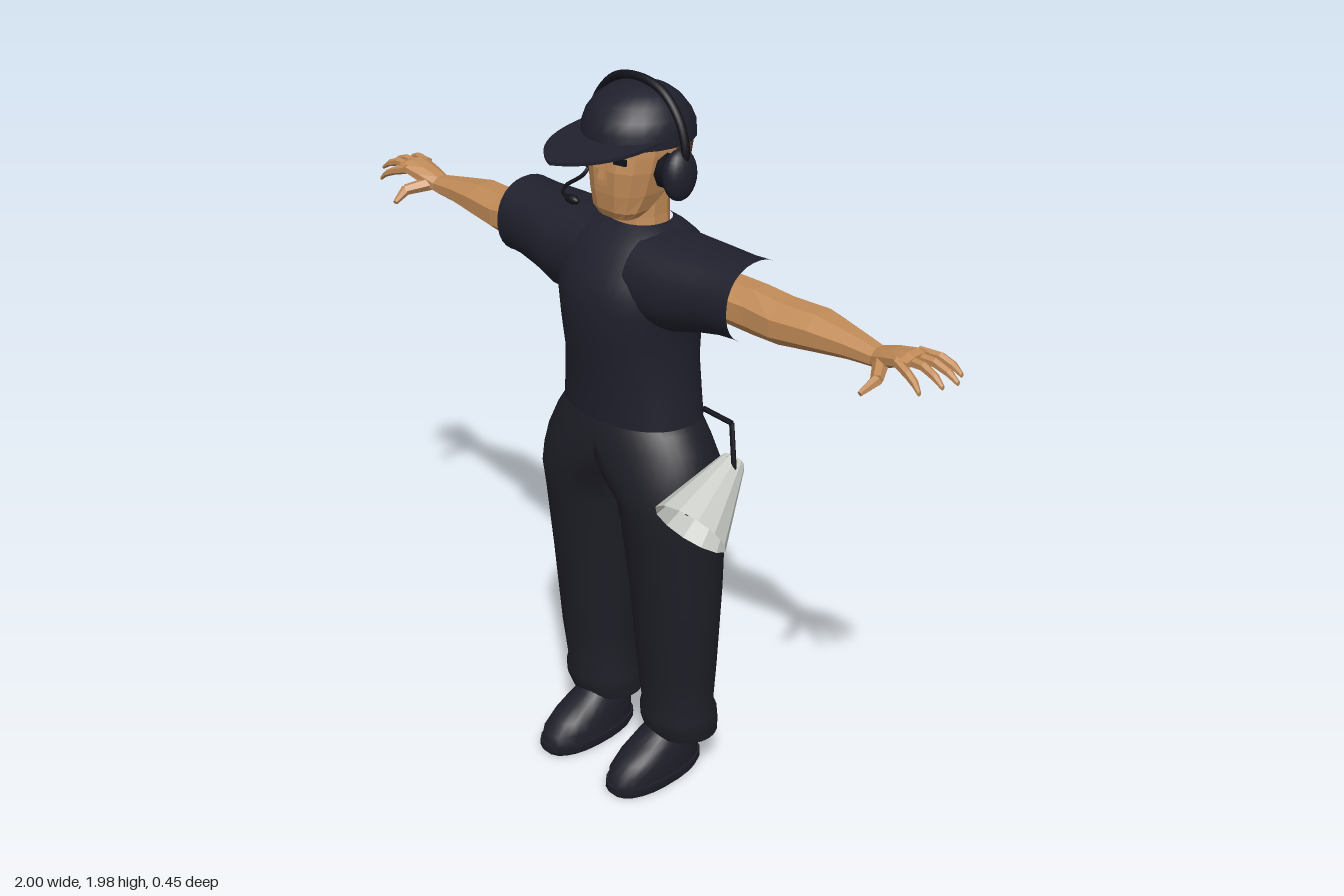
import * as THREE from 'three';
import { toCreasedNormals } from 'three/addons/utils/BufferGeometryUtils.js';

const mat = (name, color, side = THREE.FrontSide) => {
  const m = new THREE.MeshStandardMaterial({ color, side });
  m.name = name;
  return m;
};
const V = (x, y, z) => new THREE.Vector3(x, y, z);
const FLAT = 0.01, SMOOTH = 1.0;

// Loft through oval sections [position, centre1, centre2, radius1, radius2].
// axis 'y': centres are x, z; axis 'x': centres are z, y.
function loft(sections, { axis = 'y', n = 24, power = 2, crease = SMOOTH, caps = true, clamp = false, skip } = {}) {
  const pos = [], idx = [];
  const se = v => Math.sign(v) * Math.pow(Math.abs(v), 2 / power);
  const put = (p, u, v) => axis === 'y' ? pos.push(clamp ? Math.max(0, u) : u, p, v) : pos.push(p, v, u);
  for (const [p, c1, c2, r1, r2] of sections) {
    for (let j = 0; j < n; j++) {
      const t = (j + 0.5) / n * Math.PI * 2;
      put(p, c1 + r1 * se(Math.cos(t)), c2 + r2 * se(Math.sin(t)));
    }
  }
  const at = i => V(pos[i * 3], pos[i * 3 + 1], pos[i * 3 + 2]);
  const last = (sections.length - 1) * n;
  for (let i = 0; i < last; i += n) {
    for (let j = 0; j < n; j++) {
      const k = (j + 1) % n, a = i + j, b = i + k, c = a + n, d = b + n;
      if (skip && skip(at(a).add(at(d)).multiplyScalar(0.5))) continue;
      idx.push(a, c, b, b, c, d);
    }
  }
  if (caps) {
    const s = sections[0], e = sections[sections.length - 1], m = pos.length / 3;
    put(s[0], s[1], s[2]);
    put(e[0], e[1], e[2]);
    for (let j = 0; j < n; j++) {
      const k = (j + 1) % n;
      idx.push(m, j, k, m + 1, last + k, last + j);
    }
  }
  const g = new THREE.BufferGeometry();
  g.setAttribute('position', new THREE.Float32BufferAttribute(pos, 3));
  g.setIndex(idx);
  return toCreasedNormals(g, crease);
}

// Same as a section, given by its front and back z
const fb = (y, front, back, rx, cx = 0) => [y, cx, (front + back) / 2, rx, (front - back) / 2];

// Straight round bar from a to b
function rod(a, b, ra, rb = ra, n = 8, open = false) {
  const d = b.clone().sub(a);
  const g = new THREE.CylinderGeometry(rb, ra, d.length(), n, 1, open);
  g.applyQuaternion(new THREE.Quaternion().setFromUnitVectors(V(0, 1, 0), d.normalize()));
  g.translate((a.x + b.x) / 2, (a.y + b.y) / 2, (a.z + b.z) / 2);
  return toCreasedNormals(g, n > 8 ? FLAT : SMOOTH);
}

// Mirrored copy across x = 0 with its winding turned round
function mirror(src) {
  const g = src.index ? src.toNonIndexed() : src.clone();
  g.scale(-1, 1, 1);
  for (const key of ['position', 'normal']) {
    const a = g.attributes[key];
    for (let i = 0; i < a.count; i += 3) {
      const p = V().fromBufferAttribute(a, i + 1), q = V().fromBufferAttribute(a, i + 2);
      a.setXYZ(i + 1, q.x, q.y, q.z);
      a.setXYZ(i + 2, p.x, p.y, p.z);
    }
  }
  return g;
}

export function createModel() {
  const root = new THREE.Group();
  root.name = 'crewMember';
  const cloth = mat('navyCloth', 0x20202d), trouser = mat('trouserCloth', 0x1e1e27);
  const skin = mat('skin', 0xc08a57), hair = mat('brownHair', 0x54301b);
  const black = mat('blackPlastic', 0x12121a), leather = mat('shoeLeather', 0x1f1f2a);
  const horn = mat('paleGreyHorn', 0xc9ccc6, THREE.DoubleSide);
  const add = (name, g, m) => {
    const mesh = new THREE.Mesh(g, m);
    mesh.name = name;
    root.add(mesh);
    return mesh;
  };
  const pair = (name, g, m) => {
    add(name + 'Left', g, m);
    add(name + 'Right', mirror(g), m);
  };

  // Trousers: each half joins the other at the centre line
  pair('trouserLeg', loft([
    [0.13, 0.148, -0.1, 0.108, 0.097], [0.17, 0.15, -0.09, 0.112, 0.103], [0.2, 0.15, -0.087, 0.112, 0.102],
    [0.225, 0.15, -0.083, 0.104, 0.094], [0.35, 0.152, -0.077, 0.113, 0.104], [0.6, 0.15, -0.07, 0.128, 0.122],
    [0.8, 0.146, -0.06, 0.136, 0.14], [0.88, 0.142, -0.055, 0.141, 0.15], [0.93, 0.11, -0.055, 0.172, 0.153],
    [0.98, 0.07, -0.055, 0.202, 0.153], [1.04, 0.02, -0.055, 0.226, 0.149], [1.085, 0, -0.055, 0.216, 0.143],
    [1.12, 0, -0.055, 0.185, 0.132],
  ], { n: 40, clamp: true }), trouser);

  // Shoes
  pair('shoeUpper', loft([
    fb(0.028, 0.15, -0.163, 0.073, 0.135), fb(0.06, 0.145, -0.162, 0.073, 0.135), fb(0.09, 0.11, -0.158, 0.069, 0.135),
    fb(0.12, 0.055, -0.155, 0.062, 0.135), fb(0.14, 0.01, -0.15, 0.056, 0.135), fb(0.19, -0.02, -0.15, 0.05, 0.135),
  ], { power: 2.3 }), leather);
  pair('shoeSole', loft([
    fb(0, 0.148, -0.163, 0.073, 0.135), fb(0.012, 0.157, -0.17, 0.078, 0.135), fb(0.032, 0.156, -0.168, 0.078, 0.135),
  ], { power: 2.3, crease: 0.7 }), leather);

  // Shirt body, left open where the sleeves run through
  add('shirtBody', loft([
    fb(1.1, 0.09, -0.2, 0.203), fb(1.15, 0.093, -0.2, 0.196), fb(1.25, 0.1, -0.2, 0.184), fb(1.35, 0.118, -0.21, 0.184),
    fb(1.42, 0.12, -0.22, 0.196), fb(1.46, 0.115, -0.223, 0.2), fb(1.5, 0.1, -0.223, 0.2), fb(1.54, 0.075, -0.215, 0.195),
    fb(1.575, 0.05, -0.195, 0.175), fb(1.6, 0.02, -0.17, 0.14), fb(1.615, 0, -0.15, 0.085),
  ], {
    n: 40, power: 2.2, caps: false,
    skip: p => Math.abs(p.x) > 0.13 && Math.hypot((p.y - 1.49) / 0.1, (p.z + 0.06) / 0.115) < 1,
  }), cloth);
  pair('sleeve', loft([
    [0.09, -0.06, 1.485, 0.14, 0.122], [0.2, -0.06, 1.488, 0.135, 0.117], [0.28, -0.06, 1.5, 0.118, 0.107],
    [0.35, -0.06, 1.507, 0.108, 0.1], [0.395, -0.06, 1.51, 0.106, 0.1], [0.41, -0.06, 1.51, 0.104, 0.102],
  ], { axis: 'x', n: 28, power: 2.2, caps: false }), cloth);

  // Arms and hands
  pair('arm', loft([
    [0.3, -0.06, 1.495, 0.07, 0.06], [0.42, -0.065, 1.49, 0.065, 0.063], [0.5, -0.07, 1.485, 0.071, 0.058],
    [0.6, -0.08, 1.49, 0.069, 0.051], [0.7, -0.075, 1.49, 0.047, 0.036], [0.78, -0.07, 1.487, 0.033, 0.026],
    [0.83, -0.065, 1.505, 0.042, 0.025], [0.88, -0.06, 1.522, 0.05, 0.019], [0.9, -0.06, 1.522, 0.046, 0.013],
  ], { axis: 'x', n: 8, crease: FLAT }), skin);
  [[0.98, -0.115, -0.1], [1, -0.075, -0.073], [0.99, -0.033, -0.046], [0.955, 0.003, -0.02]].forEach(([tip, z, z0], i) => {
    const drop = i === 3 ? 0.015 : 0, len = tip - 0.87, mid = (z + z0) / 2;
    pair('finger' + (i + 1), loft([
      [0.87, z0, 1.52, 0.013, 0.014], [0.87 + len * 0.5, mid, 1.522 - drop, 0.012, 0.012],
      [0.87 + len * 0.8, z * 0.8 + z0 * 0.2, 1.51 - drop, 0.011, 0.01], [tip, z, 1.493 - drop, 0.006, 0.006],
    ], { axis: 'x', n: 6, crease: FLAT }), skin);
  });
  pair('thumbBase', rod(V(0.8, 1.49, -0.055), V(0.84, 1.475, 0.01), 0.02, 0.015, 6), skin);
  pair('thumbTip', rod(V(0.84, 1.475, 0.007), V(0.83, 1.452, 0.055), 0.015, 0.007, 6), skin);

  // Head, neck and hair
  add('neck', loft([fb(1.57, 0, -0.15, 0.08), fb(1.63, -0.005, -0.15, 0.075), fb(1.72, -0.01, -0.15, 0.075)],
    { n: 10, crease: FLAT }), skin);
  add('head', loft([
    fb(1.635, 0.033, -0.04, 0.055), fb(1.655, 0.044, -0.07, 0.073), fb(1.7, 0.05, -0.13, 0.088),
    fb(1.76, 0.052, -0.165, 0.1), fb(1.8, 0.044, -0.175, 0.104), fb(1.87, 0.035, -0.17, 0.1),
  ], { n: 12, power: 2.8, crease: FLAT }), skin);
  add('nose', loft([fb(1.725, 0.068, 0.03, 0.017), fb(1.74, 0.067, 0.03, 0.016), fb(1.8, 0.05, 0.02, 0.009)],
    { n: 4, crease: FLAT }), skin);
  add('hair', loft([fb(1.675, -0.1, -0.162, 0.078), fb(1.73, -0.075, -0.175, 0.1), fb(1.8, -0.065, -0.188, 0.108),
    fb(1.85, -0.06, -0.188, 0.108)], { n: 12, power: 2.8, crease: FLAT }), hair);
  const eye = new THREE.BoxGeometry(0.036, 0.016, 0.008);
  eye.rotateY(0.2);
  eye.translate(0.053, 1.793, 0.046);
  pair('eye', eye, black);

  // Cap with a thin pointed brim
  add('capCrown', loft([
    fb(1.825, 0.078, -0.218, 0.138), fb(1.86, 0.078, -0.215, 0.137), fb(1.89, 0.065, -0.2, 0.128), fb(1.92, 0.04, -0.175, 0.108),
    fb(1.942, 0.005, -0.145, 0.078), fb(1.955, -0.035, -0.105, 0.038), fb(1.958, -0.06, -0.08, 0.01),
  ]), cloth);
  const brimShape = new THREE.Shape();
  brimShape.moveTo(-0.132, -0.02);
  brimShape.bezierCurveTo(-0.14, 0.13, -0.07, 0.2, 0, 0.228);
  brimShape.bezierCurveTo(0.07, 0.2, 0.14, 0.13, 0.132, -0.02);
  const brim = new THREE.ExtrudeGeometry(brimShape, { depth: 0.008, bevelEnabled: false, curveSegments: 14 });
  brim.rotateX(Math.PI / 2 + 0.1);
  brim.translate(0, 1.847, 0);
  add('capBrim', brim, cloth);

  // Headset
  const band = new THREE.CatmullRomCurve3([[-0.155, 1.77], [-0.163, 1.82], [-0.142, 1.89], [-0.085, 1.95], [0, 1.97],
    [0.085, 1.95], [0.142, 1.89], [0.163, 1.82], [0.155, 1.77]].map(([x, y]) => V(x, y, -0.066)));
  add('headsetBand', new THREE.TubeGeometry(band, 40, 0.011, 8), black);
  const cup = new THREE.SphereGeometry(1, 20, 14);
  cup.scale(0.034, 0.066, 0.05);
  cup.translate(0.145, 1.757, -0.066);
  pair('earCup', cup, cloth);
  const pad = rod(V(0.1, 1.757, -0.066), V(0.135, 1.757, -0.066), 0.045, 0.045, 8);
  pair('earPad', pad, black);
  const boom = new THREE.CatmullRomCurve3([V(-0.155, 1.72, -0.06), V(-0.145, 1.695, -0.02), V(-0.125, 1.69, 0.06),
    V(-0.09, 1.688, 0.1), V(-0.05, 1.689, 0.112)]);
  add('microphoneBoom', new THREE.TubeGeometry(boom, 24, 0.005, 6), black);
  const foam = new THREE.SphereGeometry(1, 12, 8);
  foam.scale(0.024, 0.012, 0.012);
  foam.translate(-0.046, 1.689, 0.112);
  add('microphone', foam, black);

  // Loudhailer hanging at the left hip
  const back = V(0.335, 1.035, -0.075), mouth = V(0.352, 0.917, 0.09);
  add('loudhailerHorn', rod(back, mouth, 0.036, 0.104, 12, true), horn);
  add('loudhailerBack', rod(V(0.334, 1.042, -0.085), back, 0.03, 0.036, 12), horn);
  add('loudhailerGrip', rod(V(0.275, 0.94, 0.035), V(0.318, 0.94, 0.06), 0.011), black);
  const strap = [V(0.238, 1.158, -0.07), V(0.335, 1.152, -0.07), V(0.366, 1.04, -0.05)];
  add('strapTop', rod(strap[0], strap[1], 0.007), black);
  add('strapDrop', rod(strap[1], strap[2], 0.007), black);
  add('strapMount', rod(strap[2], V(0.335, 1.03, -0.06), 0.008), black);

  // Radio pouch on the hip
  const pouch = new THREE.BoxGeometry(0.035, 0.15, 0.042);
  pouch.translate(0.278, 0.915, -0.06);
  add('hipPouch', pouch, black);
  return root;
}
